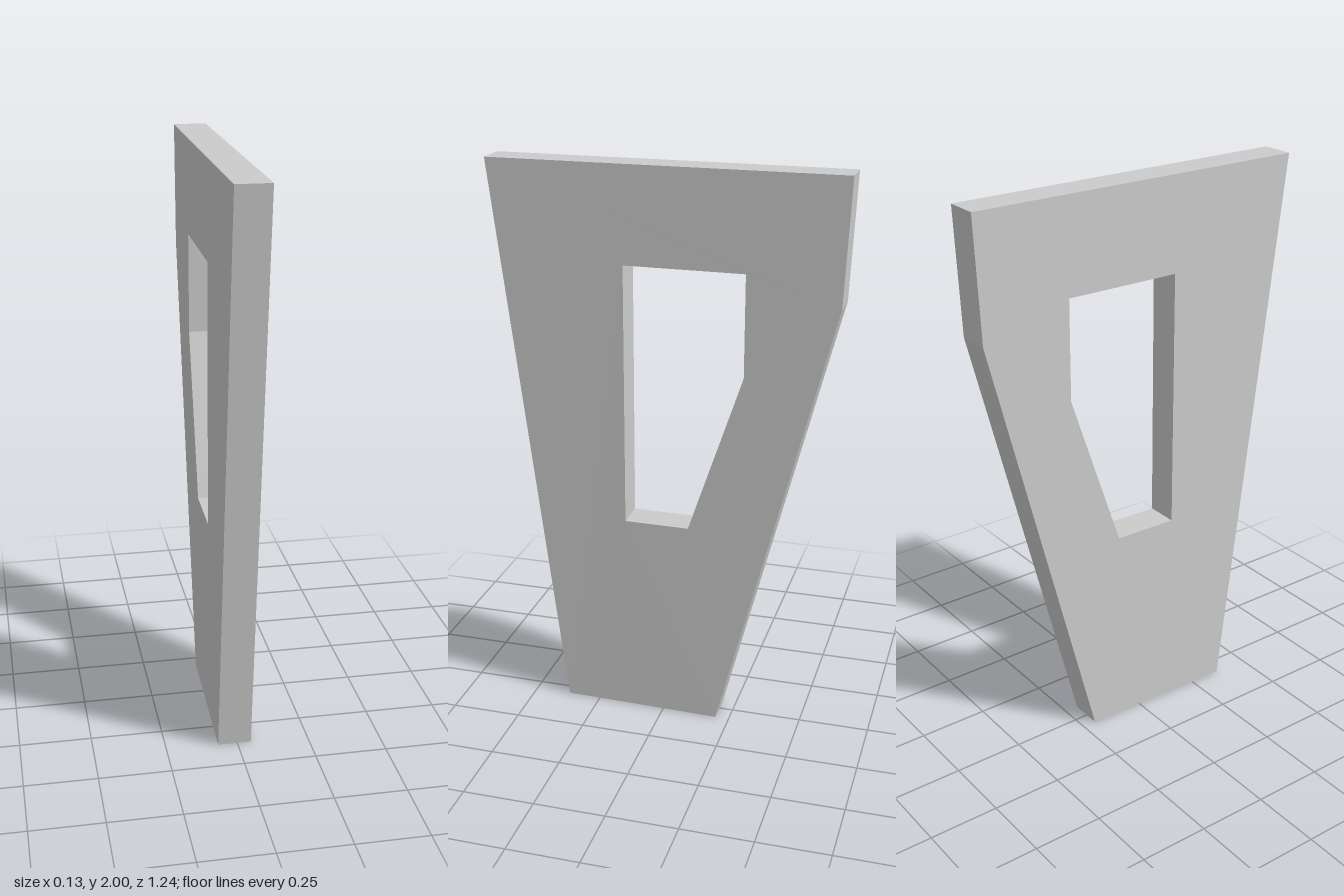
import * as THREE from 'three';

const THICKNESS = 0.116;

// Outline corners as [z, y]
const outline = [[0.37, 0], [0.62, 2], [-0.617, 2], [-0.598, 1.57], [-0.2, 0]];
const opening = [[0.14, 0.74], [0.14, 1.665], [-0.28, 1.665], [-0.28, 1.31], [-0.09, 0.74]];

const toPoints = (list) => list.map(([z, y]) => new THREE.Vector2(z, y));

// Front and back edges of the slab at a given height
const frontEdge = (y) => 0.37 + 0.125 * y;
const backEdge = (y) => (y < 1.57
  ? -0.2 - 0.398 * (y / 1.57)
  : -0.598 - 0.019 * ((y - 1.57) / 0.43));

export function createModel() {
  const group = new THREE.Group();
  group.name = 'supportPanel';

  // Tapered slab with a cut-out, extruded through its thickness
  const shape = new THREE.Shape(toPoints(outline));
  shape.holes.push(new THREE.Path(toPoints(opening)));
  const geometry = new THREE.ExtrudeGeometry(shape, { depth: THICKNESS, bevelEnabled: false });
  geometry.translate(0, 0, -THICKNESS / 2);
  geometry.rotateY(-Math.PI / 2);

  // Slight skew: the back edge leans to +x, the front edge to -x
  const p = geometry.attributes.position;
  for (let i = 0; i < p.count; i++) {
    const y = p.getY(i);
    const t = (p.getZ(i) - backEdge(y)) / (frontEdge(y) - backEdge(y));
    p.setX(i, p.getX(i) + THREE.MathUtils.lerp(0.006, -0.01, t));
  }
  geometry.computeVertexNormals();

  const panel = new THREE.Mesh(
    geometry,
    new THREE.MeshStandardMaterial({ color: 0xcccccc, flatShading: true }),
  );
  panel.name = 'panel';
  group.add(panel);
  return group;
}
